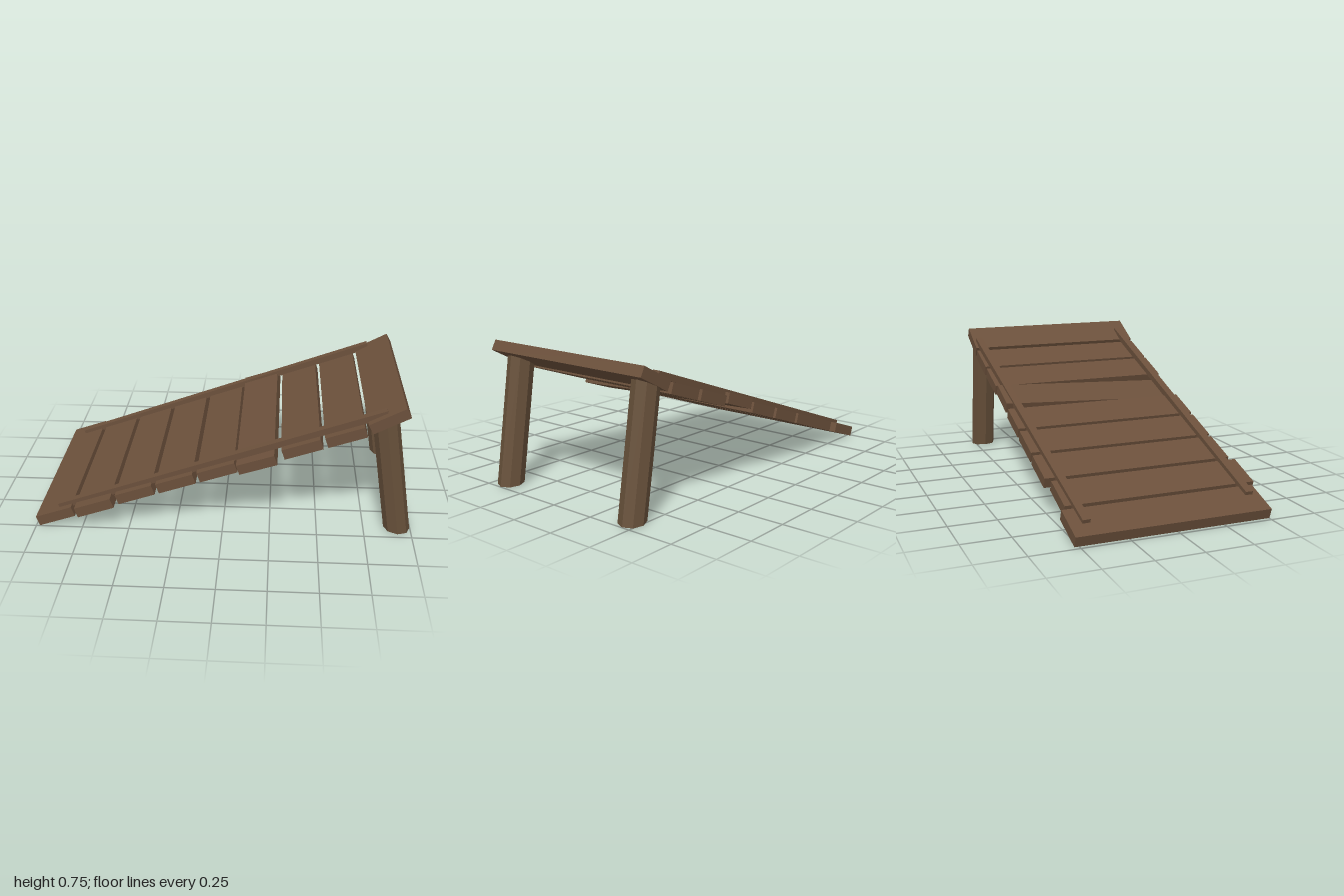
import * as THREE from 'three';

export function createModel() {
  const model = new THREE.Group();
  model.name = 'woodenRamp';

  const plankWood = new THREE.MeshStandardMaterial({ color: 0x6b503b, flatShading: true });
  plankWood.name = 'plank brown';
  const legWood = new THREE.MeshStandardMaterial({ color: 0x67503a, flatShading: true });
  legWood.name = 'leg brown';

  const PLANK = { width: 0.205, thick: 0.056, length: 1.025, pitch: 0.229 };
  const SLOPE = 0.33;

  function addBox(parent, name, size, pos, rot = [0, 0, 0]) {
    const mesh = new THREE.Mesh(new THREE.BoxGeometry(...size), plankWood);
    mesh.name = name;
    mesh.position.set(...pos);
    mesh.rotation.set(...rot);
    parent.add(mesh);
    return mesh;
  }

  // Sloping deck: local x runs up the ramp, local y is the deck normal
  const deck = new THREE.Group();
  deck.name = 'deck';
  deck.position.set(-0.98, 0.002, 0);
  deck.rotation.z = SLOPE;
  model.add(deck);

  const plankSize = [PLANK.width, PLANK.thick, PLANK.length];
  for (let i = 0; i < 8; i++) {
    const loose = i === 5; // one plank has come askew
    const z = i === 1 ? 0.0125 : -0.0125; // one plank sticks out at the front
    const x = PLANK.width / 2 + i * PLANK.pitch - (loose ? 0.01 : 0);
    addBox(deck, loose ? 'loosePlank' : 'plank', plankSize,
      [x, PLANK.thick / 2, z], loose ? [0.036, -0.02, 0] : undefined);
  }

  // Thin battens along both edges of the deck
  addBox(deck, 'frontBatten', [1.807, 0.034, 0.04], [1.033, 0.067, 0.442], [0, 0, 0.009]);
  addBox(deck, 'backBatten', [1.818, 0.034, 0.04], [0.997, 0.067, -0.466], [0, 0.027, 0.009]);

  // Steeper plank at the top end
  const topPlank = new THREE.Group();
  topPlank.name = 'topPlank';
  topPlank.position.set(0.755, 0.605, 0);
  topPlank.rotation.z = 0.485;
  model.add(topPlank);
  addBox(topPlank, 'topPlankBoard', plankSize, [PLANK.width / 2, PLANK.thick / 2, -0.0125]);

  // Eight-sided leaning legs, cut to meet the underside of the top plank
  function addLeg(name, z) {
    const geo = new THREE.CylinderGeometry(0.069, 0.069, 1, 8);
    const p = geo.attributes.position;
    for (let i = 0; i < p.count; i++) {
      const dx = p.getX(i);
      const y = p.getY(i) > 0 ? 0.645 + dx * 0.45 : (0.069 - dx) * 0.06;
      p.setXYZ(i, 0.928 + dx - 0.161 * y, y, p.getZ(i));
    }
    geo.computeVertexNormals();
    const leg = new THREE.Mesh(geo, legWood);
    leg.name = name;
    leg.position.z = z;
    model.add(leg);
  }
  addLeg('frontLeg', 0.408);
  addLeg('backLeg', -0.454);

  return model;
}
